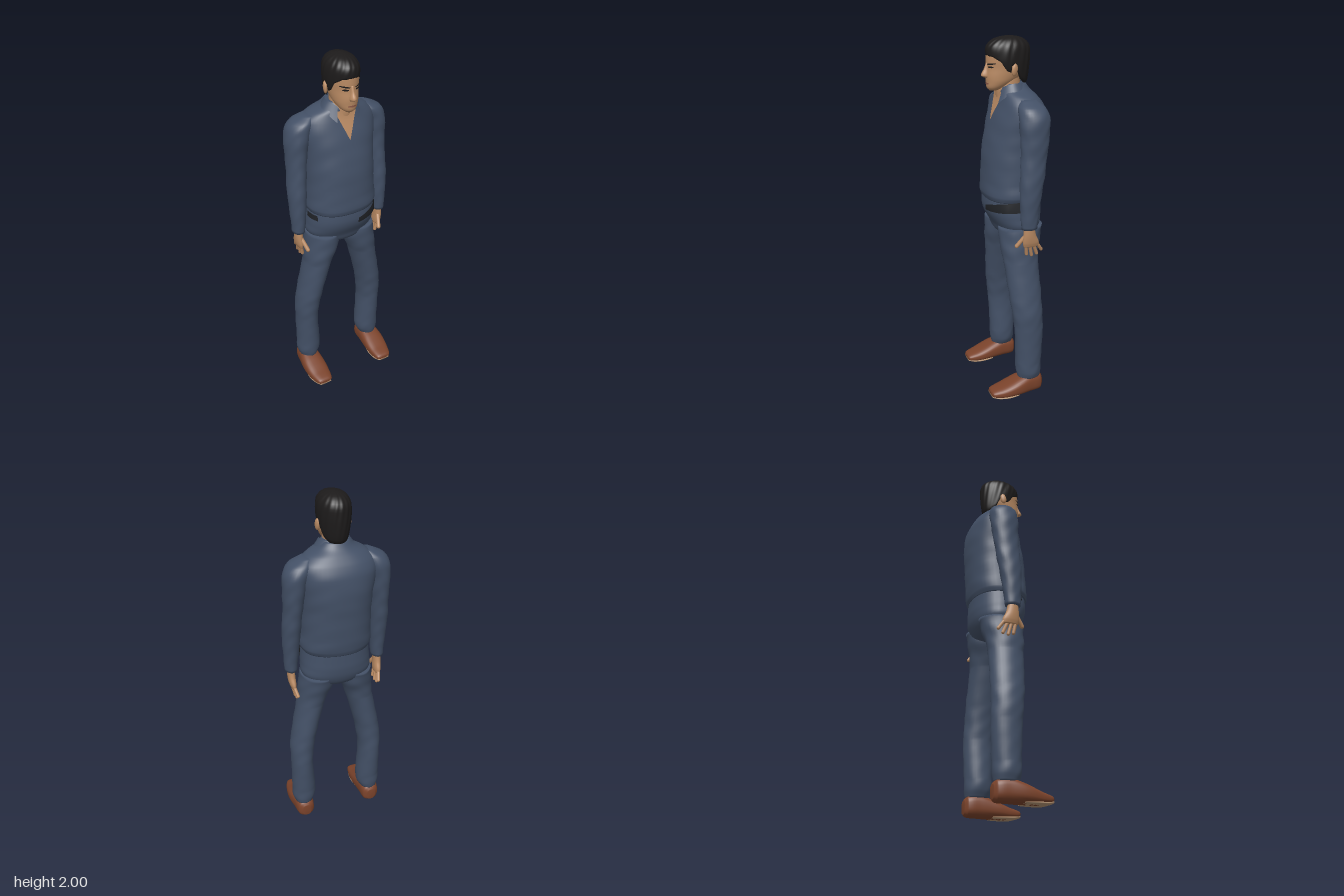
import * as THREE from 'three';

const mat = (name, color, side = THREE.FrontSide) => {
  const m = new THREE.MeshStandardMaterial({ color, side });
  m.name = name;
  return m;
};

// Smoothly interpolate cross-sections [t, cx, cOther, rx, rOther] at t.
function sectionAt(secs, t) {
  const n = secs.length;
  let i = 0;
  while (i < n - 2 && t > secs[i + 1][0]) i++;
  const slope = (k, c) => {
    const a = secs[Math.max(k - 1, 0)], b = secs[Math.min(k + 1, n - 1)];
    return (b[c] - a[c]) / (b[0] - a[0]);
  };
  const A = secs[i], B = secs[i + 1], h = B[0] - A[0], s = (t - A[0]) / h, s2 = s * s, s3 = s2 * s;
  return [1, 2, 3, 4].map(c => {
    const v = (2 * s3 - 3 * s2 + 1) * A[c] + (s3 - 2 * s2 + s) * h * slope(i, c)
      + (3 * s2 - 2 * s3) * B[c] + (s3 - s2) * h * slope(i + 1, c);
    return c > 2 ? Math.max(v, 0.001) : v;
  });
}

const power = (v, e) => Math.sign(v) * Math.abs(v) ** e;

// Point on a lofted surface; e < 1 makes the ring boxier.
function surfacePoint(secs, t, angle, { e = 1, axis = 'y', fold = 0 } = {}, offset = 0) {
  const [cx, co, rx, ro] = sectionAt(secs, t);
  const k = 1 + fold * Math.sin(t * 55 + 2 * Math.sin(angle * 2 + 1)) * Math.sin(angle * 3 + t * 9);
  const a = cx + (rx + offset) * k * power(Math.cos(angle), e);
  const b = (ro + offset) * k * power(Math.sin(angle), e);
  return axis === 'y' ? [a, t, co + b] : [a, Math.max(co - b, 0.002), t];
}

function makeGeometry(pos, index) {
  const g = new THREE.BufferGeometry();
  g.setAttribute('position', new THREE.Float32BufferAttribute(pos, 3));
  g.setIndex(index);
  g.computeVertexNormals();
  return g;
}

// Closed, capped body through the cross-sections.
function loft(secs, opts = {}, seg = 32, sub = 5) {
  const ts = [secs[0][0]], pos = [], index = [];
  for (let i = 1; i < secs.length; i++)
    for (let j = 1; j <= sub; j++) ts.push(THREE.MathUtils.lerp(secs[i - 1][0], secs[i][0], j / sub));
  for (const t of ts)
    for (let j = 0; j < seg; j++) pos.push(...surfacePoint(secs, t, j / seg * Math.PI * 2, opts));
  for (let i = 0; i < ts.length - 1; i++)
    for (let j = 0; j < seg; j++) {
      const a = i * seg + j, b = i * seg + (j + 1) % seg;
      index.push(a, a + seg, b, b, a + seg, b + seg);
    }
  for (const row of [0, ts.length - 1]) {
    const [cx, co] = sectionAt(secs, ts[row]), c = pos.length / 3;
    pos.push(...(opts.axis === 'z' ? [cx, co, ts[row]] : [cx, ts[row], co]));
    for (let j = 0; j < seg; j++) {
      const a = row * seg + j, b = row * seg + (j + 1) % seg;
      row ? index.push(c, b, a) : index.push(c, a, b);
    }
  }
  return makeGeometry(pos, index);
}

// Open grid surface from a function of (u, v).
function sheet(f, nu = 12, nv = 6) {
  const pos = [], index = [];
  for (let i = 0; i <= nv; i++) for (let j = 0; j <= nu; j++) pos.push(...f(j / nu, i / nv));
  for (let i = 0; i < nv; i++)
    for (let j = 0; j < nu; j++) {
      const a = i * (nu + 1) + j, b = a + nu + 1;
      index.push(a, b, a + 1, a + 1, b, b + 1);
    }
  return makeGeometry(pos, index);
}

// Thin patch on the front of a loft; f gives [x, y].
const frontPatch = (secs, opts, offset, f) => sheet((u, v) => {
  const [x, y] = f(1 - u, v), [cx, , rx] = sectionAt(secs, y);
  const c = THREE.MathUtils.clamp((x - cx) / rx, -1, 1);
  return surfacePoint(secs, y, Math.acos(power(c, 1 / (opts.e || 1))), opts, offset);
});

// Oval patch centred on x, y with a tilt.
const oval = (x, y, w, h, tilt = 0) => (u, v) => {
  const s = u * 2 - 1;
  return [x + s * w, y + s * tilt + (v - 0.5) * 2 * h * Math.sqrt(1 - s * s * 0.95)];
};

export function createModel() {
  const group = new THREE.Group();
  const cloth = mat('navy cloth', 0x435066, THREE.DoubleSide);
  const skin = mat('skin', 0xb98a63, THREE.DoubleSide);
  const hairMat = mat('black hair', 0x1d1b1b, THREE.DoubleSide);
  const leather = mat('brown leather', 0x7b432b);
  const soleMat = mat('tan sole', 0xb59474);
  const beltMat = mat('belt black', 0x202226, THREE.DoubleSide);
  const lipMat = mat('lips', 0x8e5a48, THREE.DoubleSide);
  const add = (name, geo, m) => {
    const mesh = new THREE.Mesh(geo, m);
    mesh.name = name;
    group.add(mesh);
    return mesh;
  };

  // Shirt body
  const shirt = [[1.15, 0, -0.008, 0.188, 0.153], [1.18, 0, -0.01, 0.198, 0.162], [1.25, 0, -0.016, 0.192, 0.164],
    [1.4, 0, -0.025, 0.19, 0.164], [1.5, 0, -0.037, 0.195, 0.157], [1.6, 0, -0.045, 0.208, 0.14],
    [1.66, 0, -0.045, 0.2, 0.118], [1.7, 0, -0.035, 0.16, 0.098], [1.73, 0, -0.022, 0.1, 0.083], [1.76, 0, -0.02, 0.068, 0.065]];
  const shirtOpts = { e: 0.88, fold: 0.008 };
  add('shirtBody', loft(shirt, shirtOpts, 48), cloth);
  add('openNeck', frontPatch(shirt, shirtOpts, 0.004, (u, v) => [(u * 2 - 1) * 0.06 * v, 1.57 + 0.15 * v]), skin);

  // Folded collar, dropping to two points at the front
  add('collar', sheet((u, v) => {
    const a = Math.PI / 2 + 0.62 + u * (Math.PI * 2 - 1.24);
    const front = Math.max(0, Math.sin(a)) ** 2, r = 0.071 + 0.026 * (1 - v);
    const top = 1.765 - 0.03 * front, low = 1.725 - 0.085 * front;
    return [Math.cos(a) * r * 1.08, THREE.MathUtils.lerp(low, top, v),
      -0.004 + Math.sin(a) * r * (1 + 0.18 * front * (1 - v))];
  }, 40, 4), cloth);

  // Trouser hips and belt
  const hips = [[0.925, 0, -0.02, 0.03, 0.05], [0.95, 0, -0.022, 0.13, 0.1], [1.0, 0, -0.025, 0.192, 0.127],
    [1.06, 0, -0.015, 0.194, 0.148], [1.11, 0, -0.01, 0.19, 0.153], [1.2, 0, -0.012, 0.18, 0.148]];
  add('hips', loft(hips, { e: 0.9 }, 40), cloth);
  add('belt', frontPatch(hips, { e: 0.9 }, 0.009, (u, v) =>
    [0.03 + u * 0.163, 1.1 + 0.03 * u + (v - 0.5) * (0.03 + 0.03 * u)]), beltMat);
  add('beltEnd', frontPatch(hips, { e: 0.9 }, 0.008, (u, v) => [-0.19 + u * 0.022, 1.115 + v * 0.03]), beltMat);

  // Neck and head
  add('neck', loft([[1.66, 0, 0, 0.06, 0.068], [1.72, 0, 0.003, 0.06, 0.068], [1.76, 0, 0.005, 0.058, 0.062],
    [1.82, 0, 0, 0.055, 0.06]]), skin);
  const head = [[1.725, 0, 0.088, 0.018, 0.02], [1.74, 0, 0.076, 0.04, 0.046], [1.77, 0, 0.05, 0.06, 0.076],
    [1.8, 0, 0.03, 0.069, 0.098], [1.84, 0, 0.014, 0.075, 0.11], [1.88, 0, 0.01, 0.079, 0.115],
    [1.92, 0, 0.008, 0.079, 0.113], [1.96, 0, 0.005, 0.068, 0.093], [1.985, 0, 0, 0.04, 0.05]];
  add('head', loft(head), skin);
  add('nose', loft([[1.792, 0, 0.121, 0.015, 0.014], [1.804, 0, 0.127, 0.018, 0.027],
    [1.835, 0, 0.122, 0.011, 0.017], [1.868, 0, 0.118, 0.008, 0.008]], {}, 16), skin);
  add('mouth', frontPatch(head, {}, 0.002, oval(0, 1.763, 0.024, 0.005)), lipMat);
  for (const s of [-1, 1]) {
    add('eye', frontPatch(head, {}, 0.002, oval(s * 0.032, 1.848, 0.014, 0.0045)), hairMat);
    add('eyebrow', frontPatch(head, {}, 0.003, oval(s * 0.034, 1.864, 0.021, 0.004, s * 0.003)), hairMat);
    const ear = add('ear', new THREE.SphereGeometry(1, 16, 12), skin);
    ear.scale.set(0.011, 0.032, 0.018);
    ear.position.set(s * 0.084, 1.835, 0.002);
    ear.rotation.set(-0.15, s * 0.3, 0);
  }

  // Hair cap with a hairline that varies round the head
  const hair = [[1.74, 0, -0.03, 0.052, 0.056], [1.78, 0, -0.015, 0.068, 0.085], [1.84, 0, 0, 0.081, 0.108],
    [1.9, 0, 0.006, 0.086, 0.117], [1.95, 0, 0.007, 0.08, 0.114], [1.98, 0, 0.005, 0.06, 0.084],
    [1.993, 0, 0.003, 0.034, 0.048], [2.0, 0, 0, 0.001, 0.001]];
  const hairline = [[-Math.PI / 2, 1.755], [-0.75, 1.76], [-0.3, 1.785], [-0.1, 1.85], [0.12, 1.86], [0.2, 1.82],
    [0.4, 1.83], [0.6, 1.875], [1.0, 1.9], [Math.PI / 2, 1.905]];
  const hairBase = a => {
    const f = Math.asin(Math.sin(a));
    let i = 0;
    while (i < hairline.length - 2 && f > hairline[i + 1][0]) i++;
    const [p, q] = [hairline[i], hairline[i + 1]];
    return THREE.MathUtils.mapLinear(f, p[0], q[0], p[1], q[1]);
  };
  add('hair', sheet((u, v) => {
    const a = u * Math.PI * 2, w = Math.max(0, (v - 0.05) / 0.95), base = hairBase(a);
    const y = base + (2 - base) * Math.sin(w * Math.PI / 2);
    const tuft = 0.0015 * Math.sin(a * 17 + w * 9) * Math.sin(w * Math.PI);
    return surfacePoint(hair, y, a, {}, v === 0 ? -0.012 : tuft);
  }, 96, 20), hairMat);

  // Limbs, mirrored
  const finger = (name, a, b, r) => {
    const p = new THREE.Vector3(...a), q = new THREE.Vector3(...b), d = q.clone().sub(p);
    const m = add(name, new THREE.CapsuleGeometry(r, d.length(), 4, 10), skin);
    m.position.copy(p).add(q).multiplyScalar(0.5);
    m.quaternion.setFromUnitVectors(new THREE.Vector3(0, 1, 0), d.normalize());
  };
  for (const s of [-1, 1]) {
    const side = secs => secs.map(([t, x, ...rest]) => [t, x * s, ...rest]);
    const tag = s > 0 ? 'left' : 'right';
    add(tag + 'Sleeve', loft(side([[1.03, 0.252, -0.013, 0.034, 0.043], [1.1, 0.25, -0.015, 0.039, 0.049],
      [1.2, 0.248, -0.02, 0.046, 0.058], [1.3, 0.245, -0.03, 0.05, 0.066], [1.4, 0.238, -0.04, 0.05, 0.07],
      [1.5, 0.232, -0.048, 0.057, 0.076], [1.6, 0.22, -0.05, 0.066, 0.082], [1.66, 0.195, -0.048, 0.062, 0.072],
      [1.695, 0.16, -0.042, 0.03, 0.04]]), { fold: 0.03 }), cloth);
    add(tag + 'TrouserLeg', loft(side([[0.1, 0.21, -0.037, 0.054, 0.066], [0.14, 0.207, -0.035, 0.068, 0.073],
      [0.2, 0.205, -0.035, 0.069, 0.075], [0.4, 0.211, -0.035, 0.063, 0.083], [0.5, 0.206, -0.028, 0.069, 0.086],
      [0.6, 0.19, -0.022, 0.07, 0.092], [0.8, 0.145, -0.012, 0.077, 0.098], [0.86, 0.131, -0.011, 0.085, 0.105],
      [0.93, 0.112, -0.016, 0.096, 0.116], [1.0, 0.105, -0.025, 0.094, 0.124]]), { fold: 0.022 }), cloth);

    // Hand with four fingers and a thumb
    add(tag + 'Palm', loft(side([[0.925, 0.246, -0.028, 0.014, 0.044], [0.95, 0.249, -0.024, 0.019, 0.046],
      [0.99, 0.252, -0.016, 0.021, 0.036], [1.045, 0.252, -0.013, 0.022, 0.028]]), {}, 20), skin);
    [[-0.062, -0.09, 0.895], [-0.04, -0.064, 0.875], [-0.018, -0.034, 0.87], [0.004, -0.005, 0.88]].forEach(([z0, z1, y]) =>
      finger(tag + 'Finger', [s * 0.247, 0.935, z0], [s * 0.237, y, z1], 0.0095));
    finger(tag + 'Thumb', [s * 0.245, 0.985, 0.008], [s * 0.228, 0.93, 0.048], 0.0115);

    // Shoe and front sole
    add(tag + 'Shoe', loft(side([[-0.113, 0.21, 0.05, 0.025, 0.035], [-0.095, 0.21, 0.055, 0.048, 0.053],
      [-0.03, 0.212, 0.06, 0.058, 0.06], [0.03, 0.214, 0.052, 0.065, 0.052], [0.08, 0.213, 0.043, 0.066, 0.042],
      [0.13, 0.211, 0.034, 0.06, 0.032], [0.17, 0.209, 0.031, 0.051, 0.024], [0.192, 0.208, 0.031, 0.042, 0.016],
      [0.199, 0.208, 0.031, 0.03, 0.008]]), { e: 0.75, axis: 'z' }), leather);
    add(tag + 'Sole', loft(side([[0.04, 0.213, 0.005, 0.05, 0.005], [0.1, 0.212, 0.006, 0.058, 0.006],
      [0.16, 0.209, 0.01, 0.05, 0.008], [0.197, 0.208, 0.018, 0.036, 0.006]]), { e: 0.7, axis: 'z' }, 24), soleMat);
  }
  return group;
}
